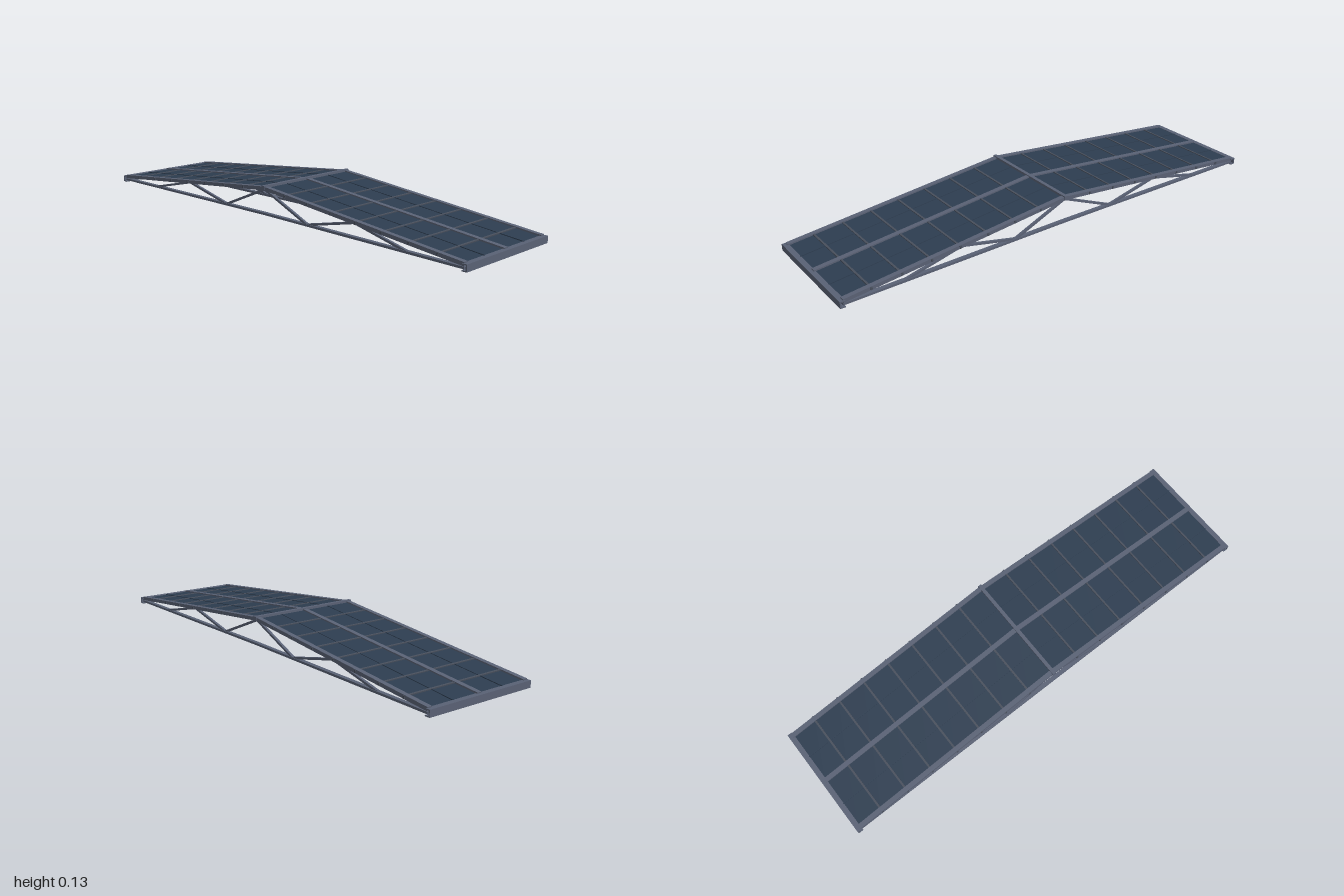
import * as THREE from 'three';

const steel = new THREE.MeshStandardMaterial({ color: 0x596174 });
steel.name = 'steel';
const darkSteel = new THREE.MeshStandardMaterial({ color: 0x484f5c });
darkSteel.name = 'dark steel';
const panelBlue = new THREE.MeshStandardMaterial({ color: 0x2d3d50 });
panelBlue.name = 'panel blue';

// Roof line: height of the panel surface at distance x from the ridge
const RIDGE = 0.123, SLOPE = 0.1;
const roofY = (x) => RIDGE - SLOPE * Math.abs(x);

function box(parent, name, material, size, position, tilt = 0) {
  const mesh = new THREE.Mesh(new THREE.BoxGeometry(...size), material);
  mesh.name = name;
  mesh.position.set(...position);
  mesh.rotation.z = tilt;
  parent.add(mesh);
  return mesh;
}

// Straight bar in the xy plane between two points
function bar(parent, name, material, [x1, y1], [x2, y2], z, height, depth) {
  const length = Math.hypot(x2 - x1, y2 - y1);
  return box(parent, name, material, [length, height, depth],
    [(x1 + x2) / 2, (y1 + y2) / 2, z], Math.atan2(y2 - y1, x2 - x1));
}

function buildTruss(z) {
  const truss = new THREE.Group();
  truss.name = 'truss';
  for (const s of [-1, 1]) {
    bar(truss, 'rafter', steel, [0, RIDGE], [s * 0.985, roofY(0.985)], z, 0.015, 0.02);
    bar(truss, 'bottomChord', steel, [0, 0.017], [s * 0.985, 0.011], z, 0.009, 0.018);
    // Zigzag web
    const nodes = [[0, 0.118], [0.243, 0.016], [0.49, 0.071], [0.735, 0.014]];
    for (let i = 0; i < nodes.length - 1; i++) {
      const [a, b] = [nodes[i], nodes[i + 1]];
      bar(truss, 'webBar', steel, [s * a[0], a[1]], [s * b[0], b[1]], z, 0.009, 0.011);
    }
  }
  return truss;
}

export function createModel() {
  const roof = new THREE.Group();
  roof.name = 'trussRoof';

  for (const z of [-0.236, 0, 0.236]) roof.add(buildTruss(z));

  for (const s of [-1, 1]) {
    const tilt = -s * Math.atan(SLOPE);

    // Roof panels, two rows of eight bays
    for (let i = 0; i < 8; i++) {
      const x = s * (0.0625 + i * 0.125);
      const length = i === 7 ? 0.11 : 0.126;
      for (const side of [-1, 1]) {
        box(roof, 'panel', panelBlue, [length, 0.004, 0.23],
          [i === 7 ? s * 0.93 : x, roofY(x), side * 0.118], tilt);
      }
    }

    // Purlins between bays
    for (let i = 1; i < 8; i++) {
      const x = s * i * 0.125;
      box(roof, 'purlin', darkSteel, [0.008, 0.011, 0.498], [x, roofY(x), 0], tilt);
    }

    // Fine seams midway between trusses
    for (const z of [-0.121, 0.121]) {
      bar(roof, 'seam', panelBlue, [0, RIDGE], [s * 0.98, roofY(0.98)], z, 0.009, 0.004);
    }

    // End channel, open towards the middle
    const channel = new THREE.Group();
    channel.name = 'endChannel';
    box(channel, 'channelWeb', steel, [0.005, 0.028, 0.5], [s * 0.9975, 0.014, 0]);
    for (const y of [0.002, 0.026]) {
      box(channel, 'channelFlange', steel, [0.018, 0.004, 0.5], [s * 0.987, y, 0]);
    }
    roof.add(channel);
  }

  // Ridge beam
  box(roof, 'ridgeBeam', steel, [0.015, 0.016, 0.5], [0, 0.126, 0]);
  return roof;
}
